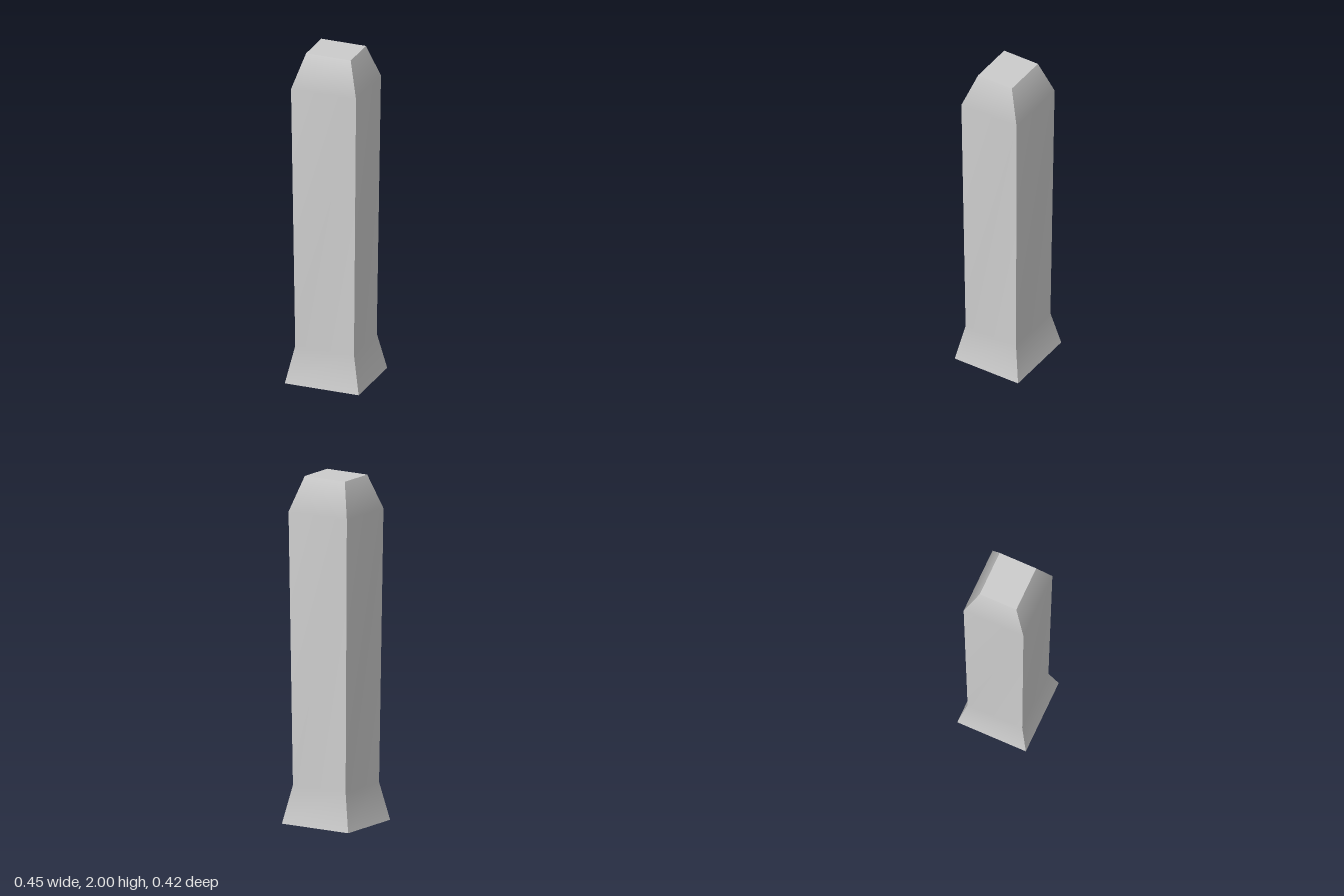
import * as THREE from 'three';

// Cross-sections from the ground up: height, half width, half depth
const SECTIONS = [
  [0, 0.225, 0.212],
  [0.22, 0.179, 0.169],
  [1.8, 0.198, 0.185],
  [2, 0.136, 0.113],
];

export function createModel() {
  const group = new THREE.Group();
  group.name = 'post';

  // Box with one row of corners per section; each side is smooth along its height
  const rows = SECTIONS.length - 1;
  const geometry = new THREE.BoxGeometry(2, 1, 2, 1, rows, 1);
  const position = geometry.attributes.position;
  for (let i = 0; i < position.count; i++) {
    const row = Math.round((position.getY(i) + 0.5) * rows);
    const [y, halfWidth, halfDepth] = SECTIONS[row];
    position.setXYZ(i, position.getX(i) * halfWidth, y, position.getZ(i) * halfDepth);
  }
  geometry.computeVertexNormals();

  // Flared foot, widening shaft and bevelled top in one piece
  const shaft = new THREE.Mesh(geometry, new THREE.MeshStandardMaterial({ color: 0xcccccc }));
  shaft.name = 'postShaft';
  group.add(shaft);
  return group;
}
